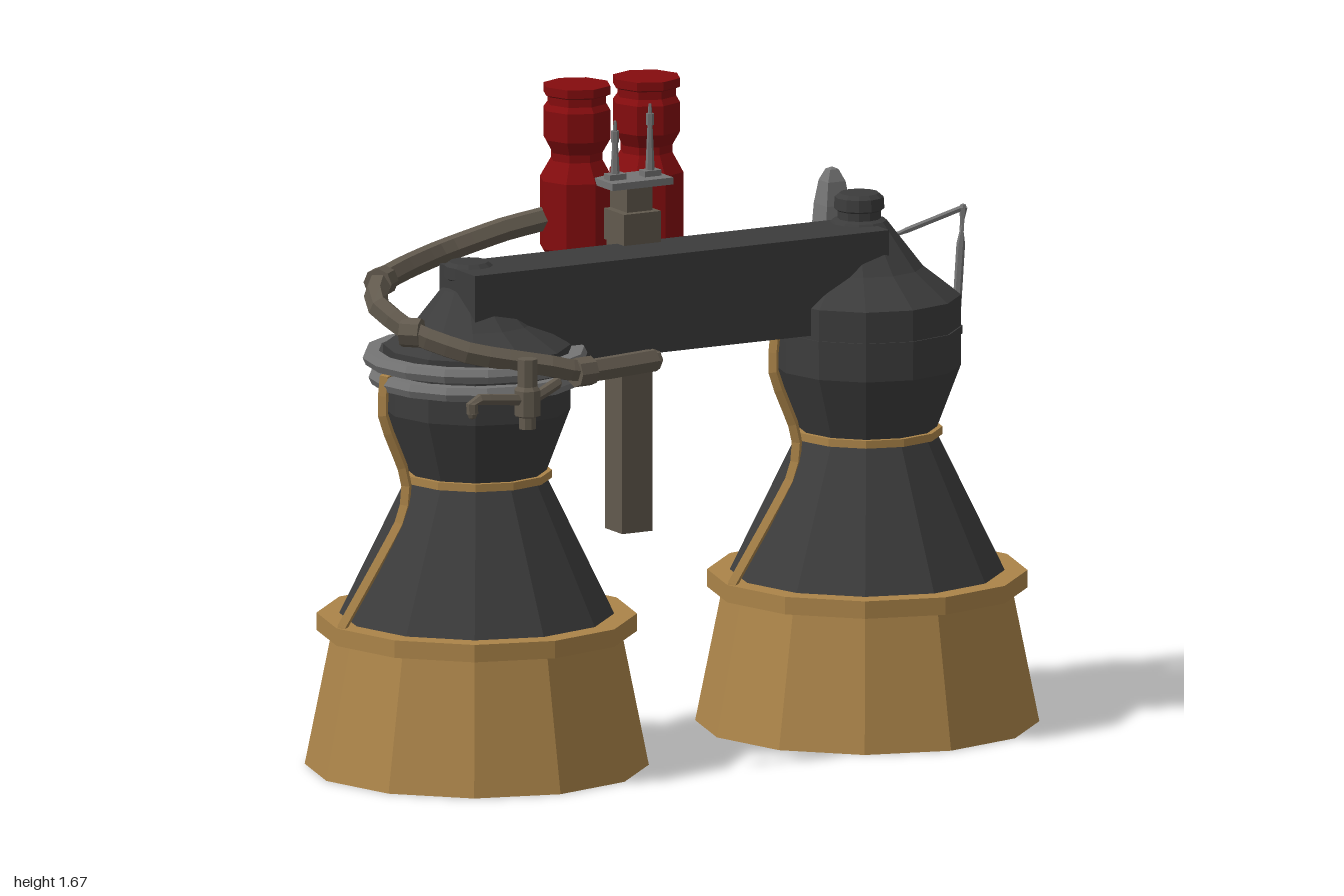
import * as THREE from 'three';

const mat = (name, color) => {
  const m = new THREE.MeshStandardMaterial({ color, flatShading: true, side: THREE.DoubleSide });
  m.name = name;
  return m;
};

export function createModel() {
  const root = new THREE.Group();
  const copper = mat('copper', 0xab8449);
  const dark = mat('charcoal', 0x3c3c3c);
  const red = mat('deepRed', 0x850c0e);
  const brown = mat('brownMetal', 0x625a4e);
  const grey = mat('grey', 0x757575);

  const add = (parent, name, geo, material, x = 0, y = 0, z = 0) => {
    const mesh = new THREE.Mesh(geo, material);
    mesh.name = name;
    mesh.position.set(x, y, z);
    parent.add(mesh);
    return mesh;
  };
  const lathe = (pts, sides) => new THREE.LatheGeometry(pts.map(([r, y]) => new THREE.Vector2(r, y)), sides);
  // box given by its min and max corners
  const box = (parent, name, material, a, b) => add(parent, name,
    new THREE.BoxGeometry(b[0] - a[0], b[1] - a[1], b[2] - a[2]), material,
    (a[0] + b[0]) / 2, (a[1] + b[1]) / 2, (a[2] + b[2]) / 2);
  const pipe = (parent, name, material, pts, radius, sides = 6) => {
    const v = pts.map(p => new THREE.Vector3(...p));
    const curve = new THREE.CatmullRomCurve3(v, false, 'catmullrom', 0.25);
    add(parent, name, new THREE.TubeGeometry(curve, (v.length - 1) * 3, radius, sides), material);
    for (const end of [v[0], v[v.length - 1]]) {
      add(parent, name + 'End', new THREE.SphereGeometry(radius * 0.95, sides, 4), material, end.x, end.y, end.z);
    }
  };

  // Two bell engines; the left-hand one has a lower dome
  for (const [side, drop] of [[-1, 0.065], [1, 0]]) {
    const engine = new THREE.Group();
    engine.name = side < 0 ? 'rightEngine' : 'leftEngine';
    engine.position.x = side * 0.565;
    root.add(engine);

    add(engine, 'nozzleSkirt', lathe([[0.435, 0], [0.365, 0.35]], 12), copper);
    add(engine, 'skirtRim', lathe([[0, 0.345], [0.405, 0.345], [0.405, 0.39], [0.34, 0.39]], 12), copper);
    add(engine, 'throatBand', lathe([[0.17, 0.74], [0.19, 0.74], [0.19, 0.76], [0.17, 0.76]], 12), copper);
    const top = 1.1 - drop * 0.25;
    const body = lathe([[0.35, 0.385], [0.173, 0.75], [0.237, 0.92], [0.237, 1.0], [0.241, 1.0], [0.241, 1.02],
      [0.237, 1.02], [0.237, top], [0.15, 1.17 - drop * 0.5], [0.07, 1.285 - drop],
      [0.055, 1.29 - drop], [0.055, 1.31 - drop], [0.064, 1.315 - drop], [0.062, 1.345 - drop],
      [0.05, 1.355 - drop], [0, 1.355 - drop]], 12);
    // lean the dome backward
    const p = body.attributes.position;
    for (let i = 0; i < p.count; i++) {
      const t = THREE.MathUtils.clamp((p.getY(i) - top) / (1.285 - drop - top), 0, 1);
      p.setZ(i, p.getZ(i) - 0.042 * t);
    }
    add(engine, 'engineBody', body, dark);

    pipe(engine, 'coolantPipe', copper, [[-0.22, 1.04, 0], [-0.265, 1.03, 0], [-0.27, 0.92, 0],
      [-0.205, 0.76, 0], [-0.22, 0.65, 0], [-0.39, 0.39, 0]], 0.015, 4);
  }

  // Cross beam
  box(root, 'crossBeam', dark, [-0.62, 1.03, -0.095], [0.578, 1.28, 0.09]);

  // Collar rings on one engine
  for (const [y, r] of [[1.055, 0.27], [1.005, 0.255]]) {
    const ring = lathe([[r - 0.025, y - 0.018], [r + 0.008, y - 0.018], [r + 0.016, y],
      [r + 0.008, y + 0.018], [r - 0.025, y + 0.018], [r - 0.025, y - 0.018]], 16);
    add(root, 'collarRing', ring, grey, -0.57, 0, 0);
  }

  // Central post with its sensor plate
  box(root, 'post', brown, [-0.093, 0.53, -0.18], [-0.005, 1.3, -0.092]);
  box(root, 'postHead', brown, [-0.105, 1.28, -0.165], [0.002, 1.36, -0.06]);
  box(root, 'postNeck', brown, [-0.085, 1.35, -0.17], [-0.012, 1.43, -0.08]);
  box(root, 'sensorPlate', grey, [-0.132, 1.422, -0.187], [0.045, 1.44, -0.072]);
  for (const [x, h] of [[-0.095, 0.14], [0.006, 0.175]]) {
    box(root, 'antennaBase', grey, [x - 0.024, 1.44, -0.14], [x + 0.024, 1.455, -0.108]);
    add(root, 'antenna', new THREE.CylinderGeometry(0.004, 0.012, h, 6), grey, x, 1.45 + h / 2, -0.125);
    add(root, 'antennaKnob', new THREE.CylinderGeometry(0.01, 0.01, 0.03, 6), grey, x, 1.41 + h, -0.125);
  }

  // Red tanks
  for (const x of [-0.135, 0.067]) {
    add(root, 'redTank', lathe([[0, 1.24], [0.09, 1.24], [0.097, 1.25], [0.097, 1.425], [0.068, 1.475], [0.068, 1.495],
      [0.088, 1.53], [0.088, 1.605], [0.077, 1.62], [0.077, 1.64], [0.088, 1.645], [0.088, 1.667], [0, 1.667]], 8),
      red, x, 0, -0.252);
  }

  // Square tapered fin tank
  const s = Math.SQRT2;
  const fin = lathe([[0, 0.95], [0.05 * s, 0.95], [0.04 * s, 1.19], [0.046 * s, 1.195], [0.046 * s, 1.21],
    [0.038 * s, 1.215], [0.034 * s, 1.28], [0.025 * s, 1.34], [0.012 * s, 1.37], [0, 1.376]], 4);
  fin.rotateY(Math.PI / 4);
  add(root, 'finTank', fin, grey, 0.616, 0, -0.274);

  // Bent rod beside the dome
  const joints = [[0.64, 1.215, -0.075], [0.845, 1.295, -0.005], [0.825, 1.01, -0.005], [0.795, 1.005, -0.005]];
  for (let i = 0; i < 3; i++) pipe(root, 'bentRod', grey, [joints[i], joints[i + 1]], i === 1 ? 0.011 : 0.008);

  // Large hose wrapping one engine
  pipe(root, 'hose', brown, [[-0.18, 1.33, -0.27], [-0.34, 1.31, -0.265], [-0.53, 1.275, -0.245], [-0.68, 1.265, -0.16],
    [-0.8, 1.255, -0.075], [-0.865, 1.22, 0.015], [-0.82, 1.16, 0.12], [-0.7, 1.11, 0.215], [-0.5, 1.07, 0.285],
    [-0.42, 1.05, 0.29], [-0.195, 1.05, 0.25]], 0.031);
  for (const [x, y, z, a] of [[-0.8, 1.255, -0.075, 0.7], [-0.82, 1.16, 0.12, -0.8], [-0.42, 1.05, 0.29, 0.1]]) {
    const sleeve = add(root, 'hoseSleeve', new THREE.CylinderGeometry(0.038, 0.038, 0.05, 8), brown, x, y, z);
    sleeve.rotation.set(0, a, Math.PI / 2);
  }

  // Valve and its side arm
  add(root, 'valveBody', lathe([[0, 0.93], [0.022, 0.93], [0.022, 0.96], [0.034, 0.965], [0.034, 1.03],
    [0.026, 1.04], [0.026, 1.11], [0, 1.11]], 8), brown, -0.607, 0, 0.338);
  pipe(root, 'valveArm', brown, [[-0.77, 0.985, 0.345], [-0.77, 1.015, 0.345], [-0.74, 1.02, 0.345],
    [-0.6, 1.005, 0.338], [-0.5, 1.03, 0.3]], 0.015);
  return root;
}
